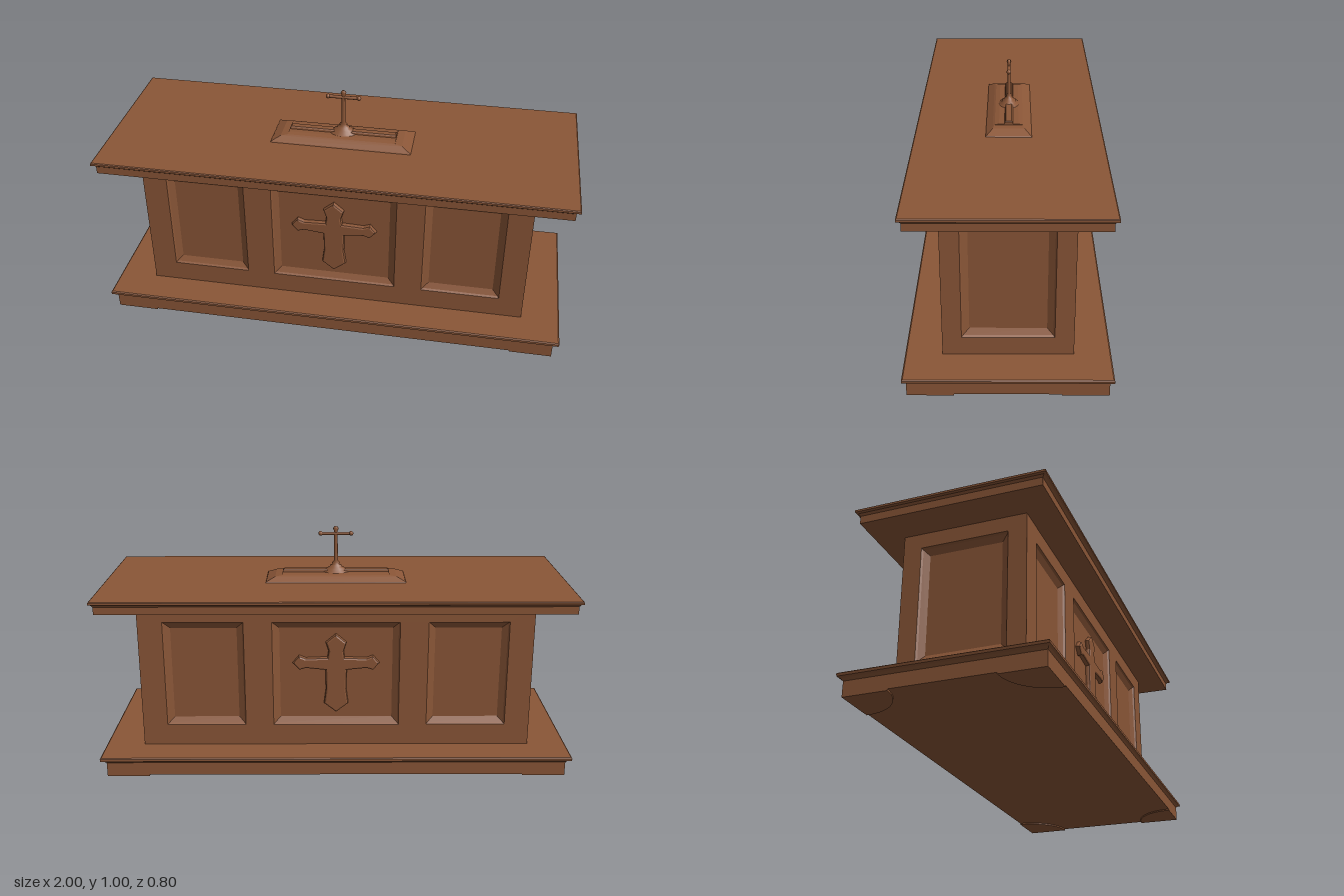
import * as THREE from 'three';

const wood = new THREE.MeshStandardMaterial({ color: 0x8a5637 });
wood.name = 'brown wood';

function add(parent, name, geometry) {
  const mesh = new THREE.Mesh(geometry, wood);
  mesh.name = name;
  parent.add(mesh);
  return mesh;
}

// Stack of rectangles [halfX, halfZ, y], joined by flat faces and capped
function loft(rings, closeBottom = true) {
  const pos = [];
  const corners = rings.map(([x, z, y]) => [[-x, y, z], [x, y, z], [x, y, -z], [-x, y, -z]]);
  const quad = (a, b, c, d) => pos.push(...a, ...b, ...c, ...a, ...c, ...d);
  for (let r = 0; r < corners.length - 1; r++) {
    const lo = corners[r], hi = corners[r + 1];
    for (let i = 0; i < 4; i++) {
      const j = (i + 1) % 4;
      quad(lo[i], lo[j], hi[j], hi[i]);
    }
  }
  quad(...corners[corners.length - 1]);
  if (closeBottom) quad(...corners[0].slice().reverse());
  const g = new THREE.BufferGeometry();
  g.setAttribute('position', new THREE.Float32BufferAttribute(pos, 3));
  g.computeVertexNormals();
  return g;
}

function polygon(points) {
  return new THREE.Shape(points.map(([x, y]) => new THREE.Vector2(x, y)));
}

const rect = (x0, y0, x1, y1) => [[x0, y0], [x1, y0], [x1, y1], [x0, y1]];

// One body face: flat frame with sunken, sloped panels
function panelledFace(name, halfWidth, panels, y0, y1) {
  const face = new THREE.Group();
  face.name = name;
  const frame = polygon(rect(-halfWidth, 0.08, halfWidth, 0.72));
  for (const [a, b] of panels) {
    frame.holes.push(polygon(rect(a, y0, b, y1).reverse()));
    const w = (b - a) / 2, h = (y1 - y0) / 2;
    const g = loft([[w, h, 0], [w - 0.006, h - 0.006, -0.008], [w - 0.03, h - 0.03, -0.022]], false);
    g.rotateX(Math.PI / 2);
    add(face, 'sunkenPanel', g).position.set((a + b) / 2, (y0 + y1) / 2, 0);
  }
  add(face, 'panelFrame', new THREE.ShapeGeometry(frame));
  return face;
}

// Carved cross with flared foot, standing proud of the centre panel
function reliefCross() {
  const half = [[0.035, 0.55], [0.024, 0.515], [0.03, 0.478], [0.13, 0.474], [0.155, 0.484],
    [0.175, 0.46], [0.155, 0.438], [0.13, 0.446], [0.038, 0.436], [0.036, 0.34], [0.044, 0.28]];
  const outline = [[0, 0.58], ...half, [0, 0.245], ...half.slice().reverse().map(([x, y]) => [-x, y])];
  const g = new THREE.ExtrudeGeometry(polygon(outline.reverse()), {
    depth: 0.008, bevelEnabled: true, bevelThickness: 0.012, bevelSize: 0.008, bevelSegments: 2,
  });
  return g.translate(0, 0, -0.022);
}

export function createModel() {
  const model = new THREE.Group();
  model.name = 'altar';

  // Base plinth with a projecting lip
  add(model, 'basePlinth', loft([
    [0.975, 0.385, 0.006], [0.975, 0.385, 0.062], [0.986, 0.391, 0.07],
    [0.998, 0.4, 0.074], [1, 0.4, 0.084], [0.995, 0.395, 0.088],
  ]));
  // Low corner feet
  for (const sx of [-1, 1]) for (const sz of [-1, 1]) {
    const foot = polygon([[0, 0]]);
    foot.lineTo(0.18, 0);
    foot.absarc(0, 0, 0.18, 0, Math.PI / 2, false);
    foot.lineTo(0, 0);
    const g = new THREE.ExtrudeGeometry(foot, { depth: 0.012, bevelEnabled: false, curveSegments: 10 });
    g.rotateX(Math.PI / 2);
    const mesh = add(model, 'cornerFoot', g);
    mesh.position.set(sx * 0.975, 0.012, sz * 0.385);
    mesh.rotation.y = sx < 0 ? (sz < 0 ? 0 : Math.PI / 2) : (sz < 0 ? -Math.PI / 2 : Math.PI);
  }

  // Panelled body
  const body = new THREE.Group();
  body.name = 'body';
  model.add(body);
  const threePanels = [[-0.73, -0.39], [-0.27, 0.27], [0.39, 0.73]];
  for (const [name, turn] of [['front', 0], ['back', Math.PI]]) {
    const face = panelledFace(name + 'Face', 0.835, threePanels, 0.18, 0.645);
    add(face, 'reliefCross', reliefCross());
    face.rotation.y = turn;
    face.position.z = 0.255 * Math.cos(turn);
    body.add(face);
  }
  for (const s of [-1, 1]) {
    const face = panelledFace(s > 0 ? 'leftFace' : 'rightFace', 0.255, [[-0.18, 0.18]], 0.165, 0.652);
    face.rotation.y = s * Math.PI / 2;
    face.position.x = s * 0.835;
    body.add(face);
  }

  // Table top with moulded edge
  add(model, 'tableTop', loft([
    [0.983, 0.371, 0.715], [0.983, 0.371, 0.748], [0.99, 0.378, 0.757],
    [1, 0.387, 0.76], [1, 0.387, 0.769], [0.996, 0.383, 0.772],
  ]));

  // Stepped stand
  add(model, 'standBase', loft([
    [0.305, 0.097, 0.768], [0.3, 0.092, 0.776], [0.262, 0.066, 0.793], [0.232, 0.058, 0.797], [0.232, 0.04, 0.801],
  ]));
  add(model, 'standStep', loft([[0.23, 0.018, 0.798], [0.23, 0.016, 0.808], [0.225, 0.012, 0.812]]));

  // Standing cross
  const cross = new THREE.Group();
  cross.name = 'standingCross';
  model.add(cross);
  const profile = [[0.06, 0.795], [0.06, 0.802], [0.044, 0.806], [0.042, 0.815], [0.028, 0.819], [0.025, 0.828],
    [0.014, 0.832], [0.017, 0.84], [0.009, 0.848], [0.008, 0.95], [0.008, 0.98], [0.012, 0.99], [0.007, 0.999], [0, 1]];
  const stem = new THREE.LatheGeometry(profile.map(([x, y]) => new THREE.Vector2(x, y)), 16);
  add(cross, 'crossStem', stem).scale.z = 0.72;
  const bar = new THREE.CylinderGeometry(0.007, 0.007, 0.14, 12).rotateZ(Math.PI / 2);
  add(cross, 'crossBar', bar).position.y = 0.968;
  for (const s of [-1, 1]) {
    add(cross, 'crossBarTip', new THREE.SphereGeometry(0.01, 12, 8)).position.set(s * 0.066, 0.968, 0);
  }
  return model;
}
